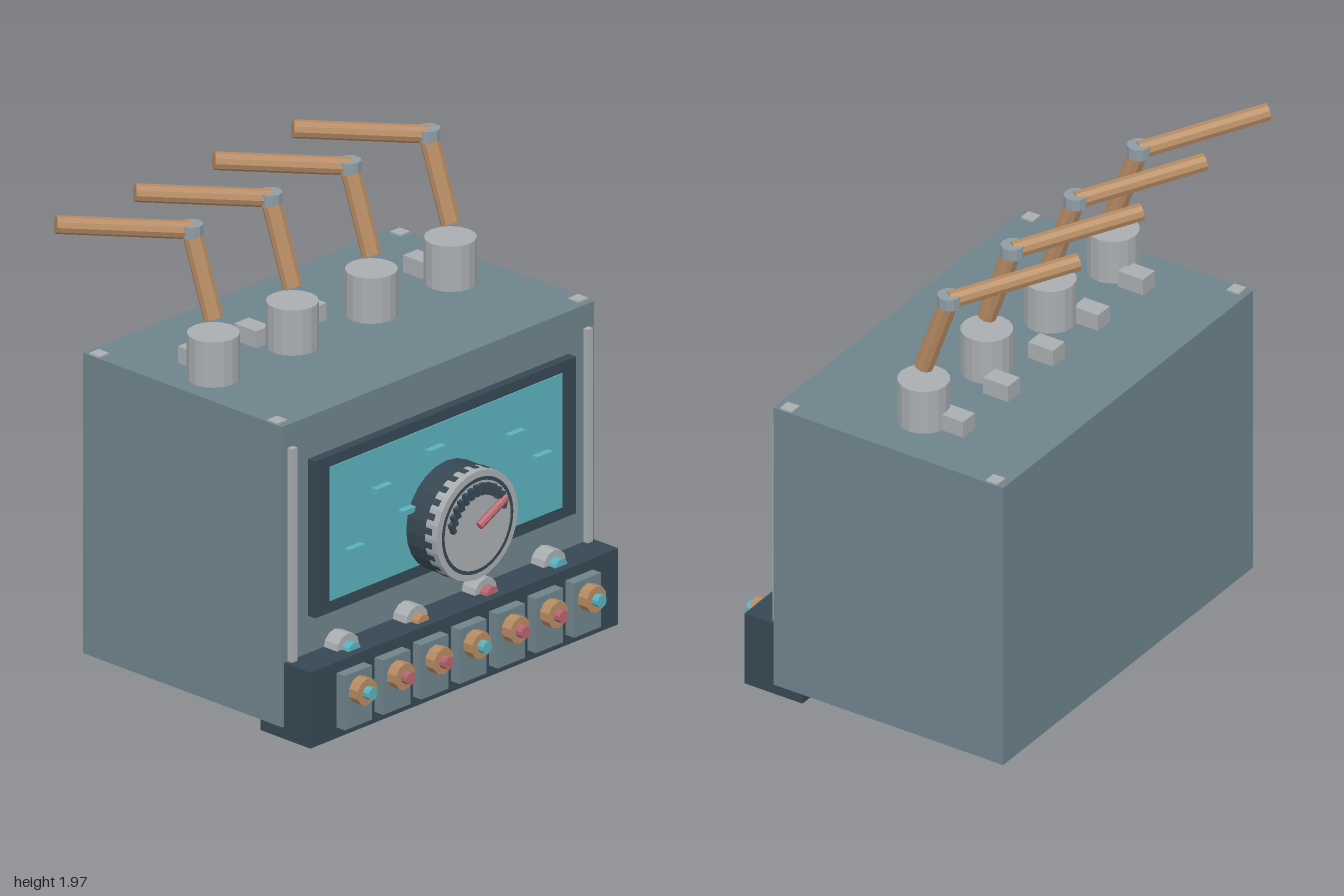
import * as THREE from 'three';

const mat = (name, color) => {
  const m = new THREE.MeshStandardMaterial({ color });
  m.name = name;
  m.flatShading = true;
  return m;
};

export function createModel() {
  const root = new THREE.Group();
  root.name = 'controlConsole';
  const slate = mat('slate', 0x6e838c), navy = mat('navy', 0x364753), grey = mat('lightGrey', 0xa9adb0);
  const copper = mat('copper', 0xb58a62), cyan = mat('cyan', 0x5ab1bd), red = mat('red', 0xb5666f);
  const steel = mat('steel', 0x909ca4);

  const add = (name, geo, material, parent = root) => {
    const m = new THREE.Mesh(geo, material);
    m.name = name;
    parent.add(m);
    return m;
  };
  // Box given by its extents on each axis
  const box = (name, x0, x1, y0, y1, z0, z1, material, parent) => {
    const m = add(name, new THREE.BoxGeometry(x1 - x0, y1 - y0, z1 - z0), material, parent);
    m.position.set((x0 + x1) / 2, (y0 + y1) / 2, (z0 + z1) / 2);
    return m;
  };
  // Cylinder between two points
  const rod = (name, a, b, r, sides, material, parent) => {
    const p = new THREE.Vector3(...a), q = new THREE.Vector3(...b), d = q.clone().sub(p);
    const m = add(name, new THREE.CylinderGeometry(r, r, d.length(), sides), material, parent);
    m.position.copy(p).add(q).multiplyScalar(0.5);
    m.quaternion.setFromUnitVectors(new THREE.Vector3(0, 1, 0), d.normalize());
    return m;
  };

  const cx = 0.135; // middle of the cabinet

  // Cabinet and lower console
  box('cabinet', cx - 0.86, cx + 0.86, 0.05, 1.295, -0.66, 0.395, slate);
  box('consoleBase', cx - 0.85, cx + 0.847, 0, 0.315, 0.27, 0.535, navy);
  for (const s of [-1, 1]) {
    box('sideRail', cx + s * 0.815 - 0.015, cx + s * 0.815 + 0.015, 0.06, 1.2, 0.39, 0.418, grey);
    for (const z of [-0.605, 0.34]) {
      const x = cx + s * 0.83;
      box('cornerPlate', x - 0.027, x + 0.027, 1.294, 1.302, z - 0.027, z + 0.027, grey);
    }
  }

  // Display with small raised markers
  box('screenFrame', cx - 0.718, cx + 0.718, 0.47, 1.12, 0.39, 0.434, navy);
  box('screen', cx - 0.64, cx + 0.64, 0.52, 1.075, 0.432, 0.439, cyan);
  const markers = [[0.06, 0.98], [-0.235, 0.91], [0.5, 0.91], [-0.09, 0.775], [0.65, 0.775], [-0.385, 0.705], [0.35, 0.705]];
  for (const [x, y] of markers) box('screenMarker', x - 0.043, x + 0.043, y - 0.011, y + 0.011, 0.435, 0.467, cyan);

  // Round gauge
  const gauge = new THREE.Group();
  gauge.name = 'gauge';
  gauge.position.set(cx, 0.687, 0);
  root.add(gauge);
  rod('gaugeDrum', [0, 0, 0.43], [0, 0, 0.54], 0.222, 24, navy, gauge);
  rod('gaugeBezel', [0, 0, 0.54], [0, 0, 0.602], 0.224, 24, grey, gauge);
  add('gaugeRing', new THREE.RingGeometry(0.182, 0.197, 48), navy, gauge).position.z = 0.604;
  for (let i = 0; i < 24; i++) {
    const a = ((i + 0.5) / 24) * Math.PI * 2;
    const notch = add('rimNotch', new THREE.BoxGeometry(0.012, 0.026, 0.036), navy, gauge);
    notch.position.set(Math.cos(a) * 0.219, Math.sin(a) * 0.219, 0.556);
    notch.rotation.z = a;
  }
  for (let i = 0; i < 13; i++) {
    const a = THREE.MathUtils.degToRad(22 + (i / 12) * 145);
    const tick = add('gaugeTick', new THREE.BoxGeometry(0.02, 0.045, 0.02), navy, gauge);
    tick.position.set(Math.cos(a) * 0.15, Math.sin(a) * 0.15, 0.61);
    tick.rotation.z = (a - Math.PI / 2) * 0.3;
  }
  rod('gaugeNeedle', [0, 0, 0.612], [0.14, 0.078, 0.618], 0.017, 8, red, gauge);

  // Indicator lamps half sunk behind the console top
  [cyan, copper, red, cyan].forEach((m, i) => {
    const x = cx + (i - 1.5) * 0.38;
    rod('lampSocket', [x, 0.31, 0.39], [x, 0.31, 0.465], 0.062, 12, grey);
    rod('lampBulb', [x, 0.31, 0.465], [x, 0.31, 0.5], 0.034, 12, m);
  });

  // Row of push buttons
  [cyan, red, red, cyan, red, red, cyan].forEach((m, i) => {
    const x = cx + (i - 3) * 0.2105, y = 0.195;
    box('buttonPlate', x - 0.075, x + 0.075, 0.045, 0.27, 0.53, 0.58, slate);
    rod('buttonCollar', [x, y, 0.58], [x, y, 0.627], 0.055, 10, copper);
    rod('buttonCap', [x, y, 0.627], [x, y, 0.657], 0.026, 10, m);
  });

  // Roof blocks
  for (let i = 0; i < 5; i++) {
    const x = 0.115 + (i - 2) * 0.31;
    box('roofBlock', x - 0.04, x + 0.04, 1.29, 1.365, -0.33, -0.215, grey);
  }

  // Lever sockets with bent levers
  for (let i = 0; i < 4; i++) {
    const lever = new THREE.Group();
    lever.name = 'lever';
    lever.position.x = -0.555 + i * 0.4355;
    root.add(lever);
    rod('leverSocket', [0, 1.29, -0.133], [0, 1.483, -0.133], 0.102, 16, grey, lever);
    rod('lowerArm', [0, 1.54, -0.133], [0, 1.873, -0.25], 0.039, 10, copper, lever);
    rod('elbow', [0, 1.85, -0.25], [0, 1.9, -0.25], 0.047, 10, steel, lever);
    rod('upperArm', [0, 1.873, -0.25], [-0.425, 1.934, -0.56], 0.036, 10, copper, lever);
  }
  return root;
}
